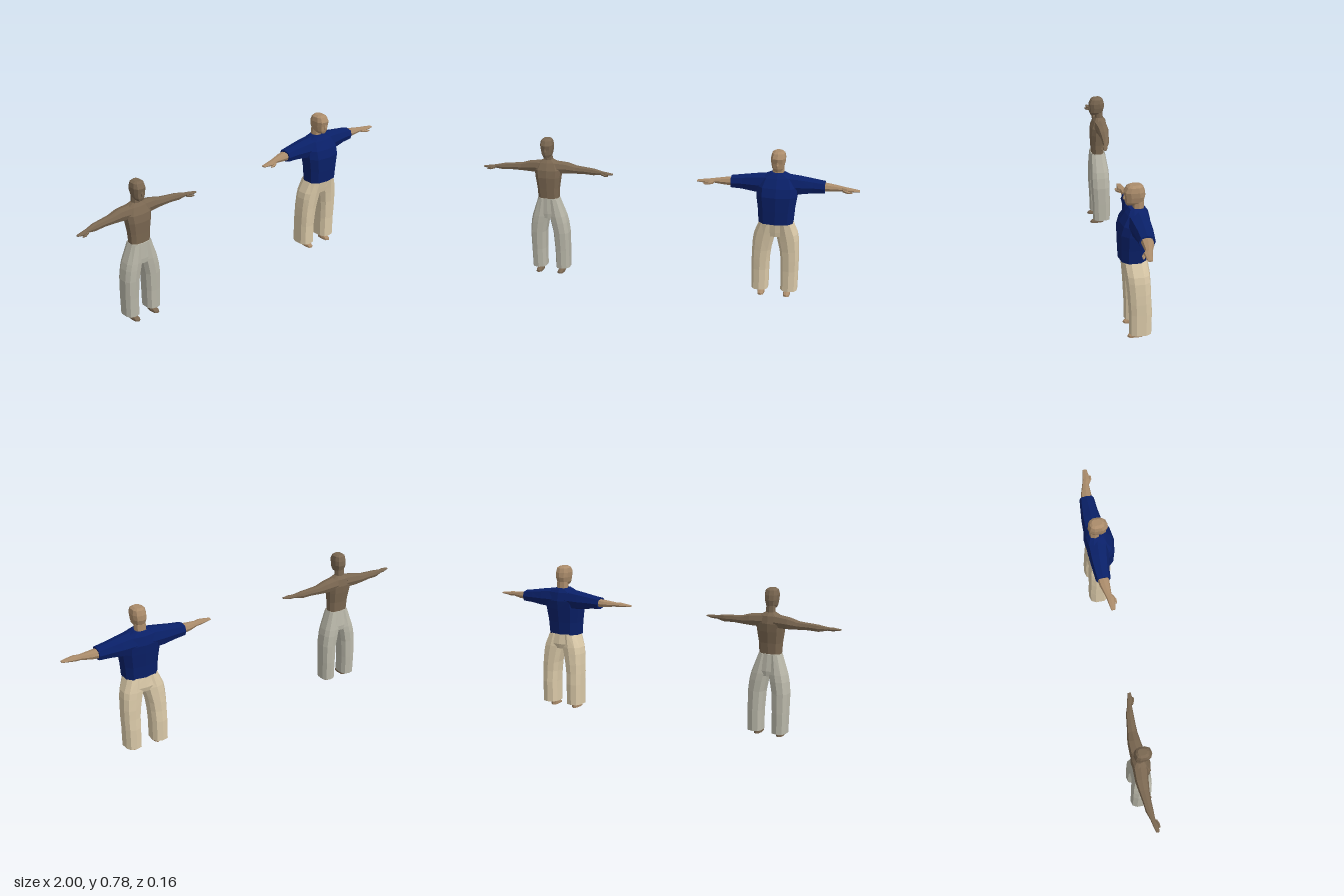
import * as THREE from 'three';

const paint = (name, color) => {
  const m = new THREE.MeshStandardMaterial({ color, flatShading: true, side: THREE.DoubleSide });
  m.name = name;
  return m;
};

// Faceted loft. Each section is [position, uMin, uMax, vMin, vMax].
// axis 'y': u is z and v is x. axis 'x': u is y and v is z. mirror flips x.
function loft(name, material, axis, sections, { sides = 10, square = 0.75, mirror = false, caps = true } = {}) {
  const pos = [], idx = [];
  const put = (t, u, v) => {
    const p = axis === 'y' ? [v, t, u] : [t, u, v];
    pos.push(mirror ? -p[0] : p[0], p[1], p[2]);
  };
  const tri = (a, b, c) => (mirror ? idx.push(a, c, b) : idx.push(a, b, c));
  const bend = (s) => Math.sign(s) * Math.pow(Math.abs(s), square);
  for (const [t, u0, u1, v0, v1] of sections) {
    for (let j = 0; j < sides; j++) {
      const a = (j / sides) * Math.PI * 2;
      put(t, (u0 + u1) / 2 + bend(Math.cos(a)) * (u1 - u0) / 2, (v0 + v1) / 2 + bend(Math.sin(a)) * (v1 - v0) / 2);
    }
  }
  for (let i = 0; i < sections.length - 1; i++) {
    for (let j = 0; j < sides; j++) {
      const a = i * sides + j, b = i * sides + (j + 1) % sides;
      tri(a, b, b + sides);
      tri(a, b + sides, a + sides);
    }
  }
  if (caps) {
    const last = (sections.length - 1) * sides;
    for (let j = 1; j < sides - 1; j++) {
      tri(0, j + 1, j);
      tri(last, last + j, last + j + 1);
    }
  }
  const g = new THREE.BufferGeometry();
  g.setAttribute('position', new THREE.Float32BufferAttribute(pos, 3));
  g.setIndex(idx);
  g.computeVertexNormals();
  const mesh = new THREE.Mesh(g, material);
  mesh.name = name;
  return mesh;
}

// Symmetric section written as [y, halfWidth, zFront, zBack]
const sym = (rows) => rows.map(([y, w, f, b]) => [y, b, f, -w, w]);

function person(name, s) {
  const g = new THREE.Group();
  g.name = name;

  // trunk, neck and head
  g.add(loft('torso', s.top, 'y', sym(s.torso)));
  g.add(loft('neck', s.skin, 'y', sym(s.neck), { sides: 8 }));
  const head = new THREE.Group();
  head.name = 'head';
  head.add(loft('skull', s.skin, 'y', sym([
    [0.683, 0.019, 0.037, -0.012], [0.698, 0.03, 0.043, -0.046], [0.725, 0.036, 0.045, -0.055],
    [0.75, 0.038, 0.05, -0.053], [0.774, 0.033, 0.036, -0.044], [0.783, 0.019, 0.022, -0.032],
  ])));
  head.add(loft('nose', s.skin, 'y', sym([
    [0.71, 0.007, 0.051, 0.035], [0.716, 0.007, 0.053, 0.035], [0.738, 0.003, 0.047, 0.035],
  ]), { sides: 6 }));
  head.scale.set(s.headWidth, 1, s.headDepth);
  head.position.set(0, s.headY, s.headZ);
  g.add(head);

  // seat of the trousers
  g.add(loft('trouserSeat', s.cloth, 'y', sym(s.seat)));

  for (const mirror of [false, true]) {
    const side = mirror ? 'right' : 'left';
    // arm, thumb and optional sleeve
    if (s.sleeve) g.add(loft(side + 'Sleeve', s.top, 'x', s.sleeve, { sides: 8, mirror }));
    g.add(loft(side + 'Arm', s.skin, 'x', s.arm, { sides: 8, mirror }));
    g.add(loft(side + 'Thumb', s.skin, 'x', s.thumb, { sides: 5, mirror }));
    // open trouser leg with the ankle and foot inside
    g.add(loft(side + 'TrouserLeg', s.cloth, 'y', s.leg.map(([y, i, o, f, b]) => [y, b, f, i, o]),
      { sides: 10, mirror, caps: false }));
    const [fx, fy] = s.foot;
    g.add(loft(side + 'Foot', s.skin, 'y', [
      [fy, -0.042, 0.039, fx - 0.018, fx + 0.018],
      [fy + 0.009, -0.042, 0.037, fx - 0.018, fx + 0.018],
      [fy + 0.024, -0.041, 0.004, fx - 0.016, fx + 0.016],
      [fy + 0.1, -0.045, -0.005, fx - 0.018, fx + 0.018],
    ], { sides: 8, mirror }));
  }
  return g;
}

export function createModel() {
  const model = new THREE.Group();
  model.name = 'twoFigures';
  const lightSkin = paint('light skin', 0xab8c6b);
  const darkSkin = paint('dark skin', 0x7a6751);
  const navy = paint('navy cloth', 0x0a2068);
  const cream = paint('cream cloth', 0xdac9a8);
  const grey = paint('grey cloth', 0xb9b7a9);

  // broad figure in a short-sleeved shirt
  const broad = person('shirtedFigure', {
    skin: lightSkin, top: navy, cloth: cream,
    headWidth: 1, headDepth: 1, headY: 0, headZ: 0,
    torso: [
      [0.41, 0.091, 0.076, -0.061], [0.48, 0.096, 0.08, -0.066], [0.555, 0.107, 0.083, -0.075],
      [0.6, 0.107, 0.07, -0.079], [0.645, 0.085, 0.042, -0.068], [0.667, 0.036, 0.024, -0.052],
    ],
    neck: [[0.65, 0.031, 0.006, -0.05], [0.7, 0.029, 0.006, -0.048]],
    sleeve: [
      [0.04, 0.55, 0.662, -0.072, 0.045], [0.115, 0.556, 0.652, -0.07, 0.034],
      [0.18, 0.566, 0.641, -0.064, 0.024], [0.24, 0.57, 0.632, -0.058, 0.02],
    ],
    arm: [
      [0.21, 0.579, 0.627, -0.052, 0.012], [0.27, 0.582, 0.62, -0.045, 0.01],
      [0.325, 0.59, 0.613, -0.028, 0.008], [0.35, 0.587, 0.611, -0.022, 0.02],
      [0.38, 0.591, 0.607, -0.017, 0.017], [0.415, 0.595, 0.602, -0.01, 0.012],
    ],
    thumb: [[0.33, 0.588, 0.604, 0, 0.014], [0.355, 0.586, 0.598, 0.012, 0.028], [0.378, 0.588, 0.595, 0.019, 0.028]],
    seat: [[0.335, 0.095, 0.045, -0.062], [0.36, 0.108, 0.05, -0.069], [0.415, 0.084, 0.06, -0.061]],
    leg: [
      [0.027, 0.032, 0.121, 0.033, -0.079], [0.14, 0.031, 0.122, 0.034, -0.08], [0.2, 0.028, 0.123, 0.038, -0.076],
      [0.25, 0.022, 0.122, 0.041, -0.075], [0.31, 0.008, 0.119, 0.047, -0.072], [0.345, 0, 0.113, 0.051, -0.07],
      [0.412, 0, 0.085, 0.06, -0.06],
    ],
    foot: [0.068, 0],
  });
  broad.position.x = 0.583;

  // slim bare-chested figure
  const slim = person('bareChestedFigure', {
    skin: darkSkin, top: darkSkin, cloth: grey,
    headWidth: 0.9, headDepth: 0.85, headY: -0.011, headZ: -0.009,
    torso: [
      [0.43, 0.056, 0.022, -0.05], [0.5, 0.06, 0.026, -0.055], [0.56, 0.069, 0.03, -0.065],
      [0.6, 0.074, 0.025, -0.069], [0.637, 0.055, 0.008, -0.062], [0.655, 0.024, -0.006, -0.046],
    ],
    neck: [[0.64, 0.025, -0.004, -0.048], [0.69, 0.023, -0.003, -0.046]],
    arm: [
      [0.03, 0.575, 0.646, -0.066, 0.012], [0.1, 0.577, 0.638, -0.066, 0], [0.15, 0.58, 0.623, -0.058, -0.006],
      [0.2, 0.582, 0.619, -0.05, -0.007], [0.25, 0.579, 0.615, -0.044, -0.006],
      [0.295, 0.588, 0.606, -0.029, -0.006], [0.32, 0.586, 0.604, -0.024, 0.004], [0.357, 0.593, 0.599, -0.014, 0.002],
    ],
    thumb: [[0.295, 0.587, 0.6, -0.012, 0.002], [0.318, 0.584, 0.594, 0, 0.012], [0.335, 0.585, 0.591, 0.004, 0.011]],
    seat: [[0.335, 0.076, 0.028, -0.066], [0.36, 0.083, 0.03, -0.068], [0.445, 0.058, 0.028, -0.056]],
    leg: [
      [0.045, 0.027, 0.104, 0.022, -0.077], [0.15, 0.026, 0.106, 0.025, -0.078], [0.25, 0.02, 0.107, 0.031, -0.076],
      [0.31, 0.008, 0.1, 0.033, -0.075], [0.345, 0, 0.092, 0.033, -0.072], [0.442, 0, 0.058, 0.028, -0.056],
    ],
    foot: [0.06, 0.022],
  });
  slim.position.x = -0.643;

  model.add(broad, slim);
  return model;
}
